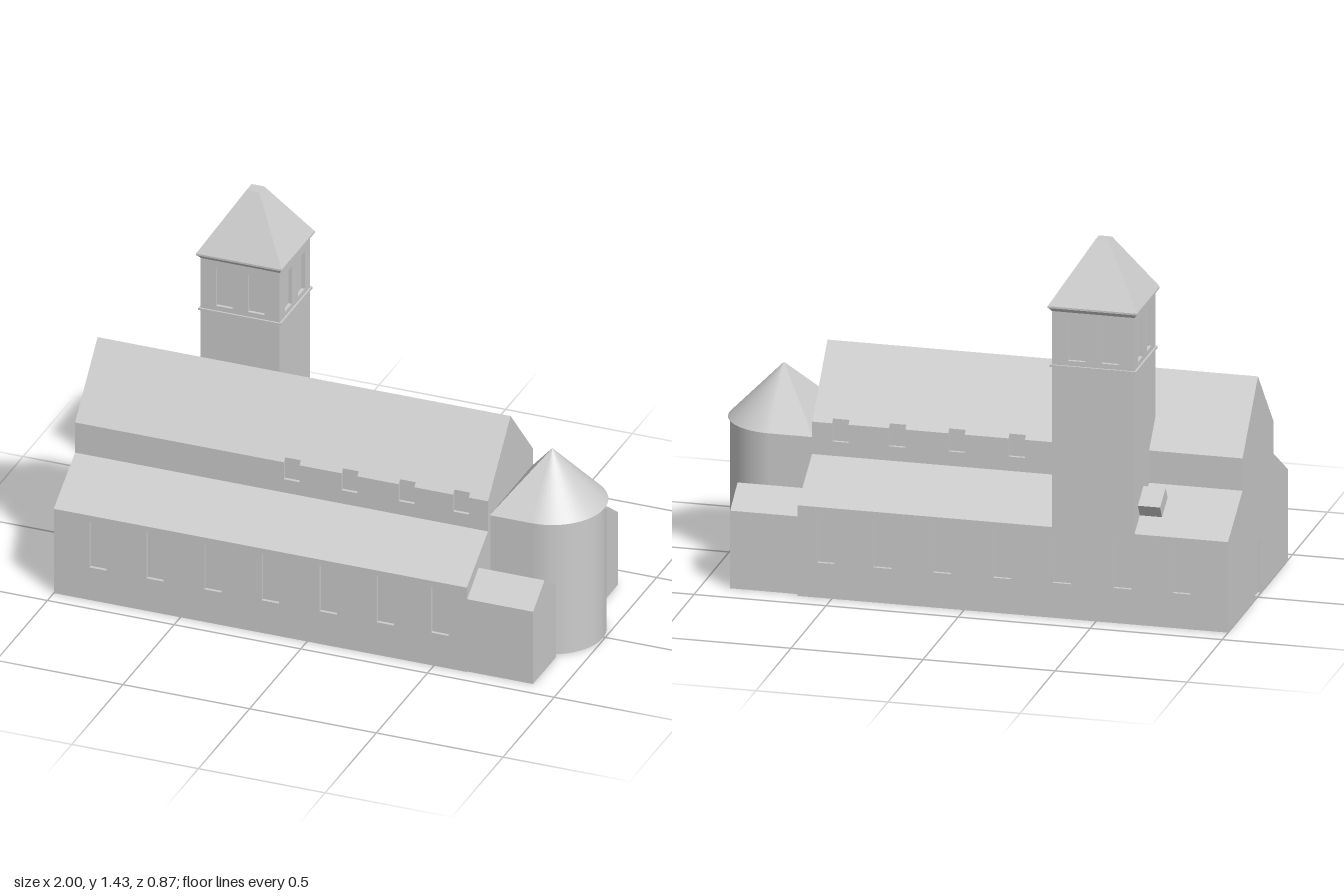
import * as THREE from 'three';

const D = 0.013;                       // depth of window and door recesses
const X0 = -1, X1 = 0.63;              // nave ends
const AISLE = 0.428, NAVE = 0.22;      // half widths
const EAVE = 0.35, LEAN = 0.48, TOP = 0.605, RIDGE = 0.85;
const aisleRoof = z => LEAN - (z - NAVE) * (LEAN - EAVE) / (AISLE - NAVE);
const naveRoof = z => RIDGE - z * (RIDGE - TOP) / NAVE;

export function createModel() {
  const stone = new THREE.MeshStandardMaterial({ color: 0xcccccc });
  stone.name = 'pale stone';
  const church = new THREE.Group();
  church.name = 'church';
  church.position.z = 0.01;

  const add = (name, geometry, parent = church) => {
    const mesh = new THREE.Mesh(geometry, stone);
    mesh.name = name;
    parent.add(mesh);
    return mesh;
  };
  const box = (name, w, h, d, x, y, z, parent) =>
    add(name, new THREE.BoxGeometry(w, h, d).translate(x, y + h / 2, z), parent);

  // Extrudes a [z, y] profile along x
  const alongX = (name, profile, x0, x1, hole) => {
    const shape = new THREE.Shape(profile.map(([z, y]) => new THREE.Vector2(-z, y)));
    if (hole) shape.holes.push(hole);
    const g = new THREE.ExtrudeGeometry(shape, { depth: x1 - x0, bevelEnabled: false, curveSegments: 16 });
    return add(name, g.rotateY(Math.PI / 2).translate(x0, 0, 0));
  };
  const mirrored = half => [...half, ...half.slice().reverse().filter(([z]) => z > 0).map(([z, y]) => [-z, y])];

  // Nave and aisles, set back behind the outer wall layer
  const a = AISLE - D, n = NAVE - D;
  alongX('naveBody', mirrored([[a, 0], [a, aisleRoof(a)], [NAVE, LEAN], [n, LEAN], [n, naveRoof(n)], [0, RIDGE]]), X0 + D, X1);

  // West front with door notch and round window
  const rose = new THREE.Path();
  rose.absarc(0, 0.605, 0.067, 0, Math.PI * 2, true);
  alongX('westFront', [
    [0.045, 0], ...mirrored([[AISLE, 0], [AISLE, EAVE], [NAVE, LEAN], [NAVE, TOP], [0, RIDGE]]),
    [-0.045, 0], [-0.045, 0.21], [0.045, 0.21]], X0, X0 + D, rose);

  // Outer wall layer: piers between windows, sills and lintels at them
  const wallLayer = (name, side, outer, base, eave, inner, peak, windows, width, sill, head) => {
    const flip = profile => profile.map(([z, y]) => [z * side, y]);
    let x = X0 + D;
    const pier = flip([[outer, base], [outer, eave], [inner, peak], [inner, base]]);
    for (const c of windows) {
      const l = c - width / 2, r = c + width / 2;
      alongX(name + 'Pier', pier, x, l);
      alongX(name + 'Sill', flip([[outer, base], [outer, sill], [inner, sill], [inner, base]]), l, r);
      if (head < eave)
        alongX(name + 'Lintel', flip([[outer, head], [outer, eave], [inner, peak], [inner, head]]), l, r);
      x = r;
    }
    alongX(name + 'Pier', pier, x, X1);
  };
  const bays = [-0.825, -0.6, -0.372, -0.145, 0.083, 0.308, 0.523];
  for (const side of [1, -1]) {
    wallLayer('aisleWall', side, AISLE, 0, EAVE, a, aisleRoof(a), bays, 0.068, 0.135, 0.325);
    wallLayer('clerestory', side, NAVE, LEAN, TOP, n, naveRoof(n), bays.slice(3), 0.062, 0.535, 0.62);
    // Gabled side chapels
    const i = 0.2, o = side > 0 ? 0.424 : 0.408;
    alongX('sideChapel', [[i, 0], [o, 0], [o, 0.3], [(i + o) / 2, 0.375], [i, 0.3]].map(([z, y]) => [z * side, y]), X1, 0.89);
  }

  // Rounded apse with a half cone roof hipped back to the nave
  const ax = 0.795, r = 0.198, R = 0.205, wallTop = 0.54, apex = 0.75;
  box('apseBay', ax - X1, wallTop, r * 2, (ax + X1) / 2, 0, 0);
  add('apseWall', new THREE.CylinderGeometry(r, r, wallTop, 28, 1, false, 0, Math.PI).translate(ax, wallTop / 2, 0));
  add('apseRoof', new THREE.ConeGeometry(R, apex - wallTop, 28, 1, false, 0, Math.PI).translate(ax, (apex + wallTop) / 2, 0));
  const A = [ax, apex, 0], P = [ax, wallTop, R], Q = [X1, wallTop, R], S = [ax, wallTop, -R], T = [X1, wallTop, -R];
  const hip = new THREE.BufferGeometry();
  hip.setAttribute('position', new THREE.Float32BufferAttribute([Q, P, A, S, T, A, T, Q, A, Q, T, S, Q, S, P].flat(), 3));
  hip.computeVertexNormals();
  add('apseHip', hip);

  // Bell tower rising flush with the back aisle wall
  const tower = new THREE.Group();
  tower.name = 'bellTower';
  const w = 0.312, d = 0.297;
  tower.position.set(-0.49, 0, -AISLE + d / 2);
  church.add(tower);
  const b0 = 0.975, b1 = 1.2;
  box('towerShaft', w, b0 - EAVE, d, 0, EAVE, 0, tower);
  box('belfryCore', w - 2 * D, b1 - b0, d - 2 * D, 0, b0, 0, tower);
  box('stringCourse', w + 0.014, 0.008, d + 0.014, 0, b0 - 0.004, 0, tower);

  // Belfry walls, each with two openings
  for (let k = 0; k < 4; k++) {
    const width = k % 2 ? d : w, out = (k % 2 ? w : d) / 2;
    const rect = (T, x0, y0, x1, y1) => new T([[x0, y0], [x1, y0], [x1, y1], [x0, y1]].map(p => new THREE.Vector2(...p)));
    const wall = rect(THREE.Shape, -width / 2, b0, width / 2, b1);
    for (const s of [-1, 1])
      wall.holes.push(rect(THREE.Path, s * 0.063 - 0.033, 0.998, s * 0.063 + 0.033, 1.153));
    const g = new THREE.ExtrudeGeometry(wall, { depth: D, bevelEnabled: false });
    add('belfryWall', g.translate(0, 0, out - D).rotateY(k * Math.PI / 2), tower);
  }

  // Square frustum from a four sided cylinder
  const frustum = (name, topW, topD, botW, botD, y0, y1) => {
    const g = new THREE.BoxGeometry(1, y1 - y0, 1).translate(0, (y0 + y1) / 2, 0);
    const p = g.attributes.position, mid = (y0 + y1) / 2;
    for (let i = 0; i < p.count; i++) {
      const up = p.getY(i) > mid;
      p.setX(i, p.getX(i) * (up ? topW : botW));
      p.setZ(i, p.getZ(i) * (up ? topD : botD));
    }
    g.computeVertexNormals();
    add(name, g, tower);
  };
  frustum('towerCornice', w + 0.024, d + 0.022, w, d, 1.185, 1.2);
  frustum('towerEave', 0.338, 0.324, 0.338, 0.324, 1.2, 1.207);
  frustum('towerRoof', 0.05, 0.05, 0.338, 0.324, 1.207, 1.432);

  // Small roof hatch beside the tower, square to the aisle roof
  alongX('roofHatch', [[-0.27, 0.445], [-0.30, 0.494], [-0.38, 0.444], [-0.35, 0.395]], -0.73, -0.64);

  return new THREE.Group().add(church);
}
